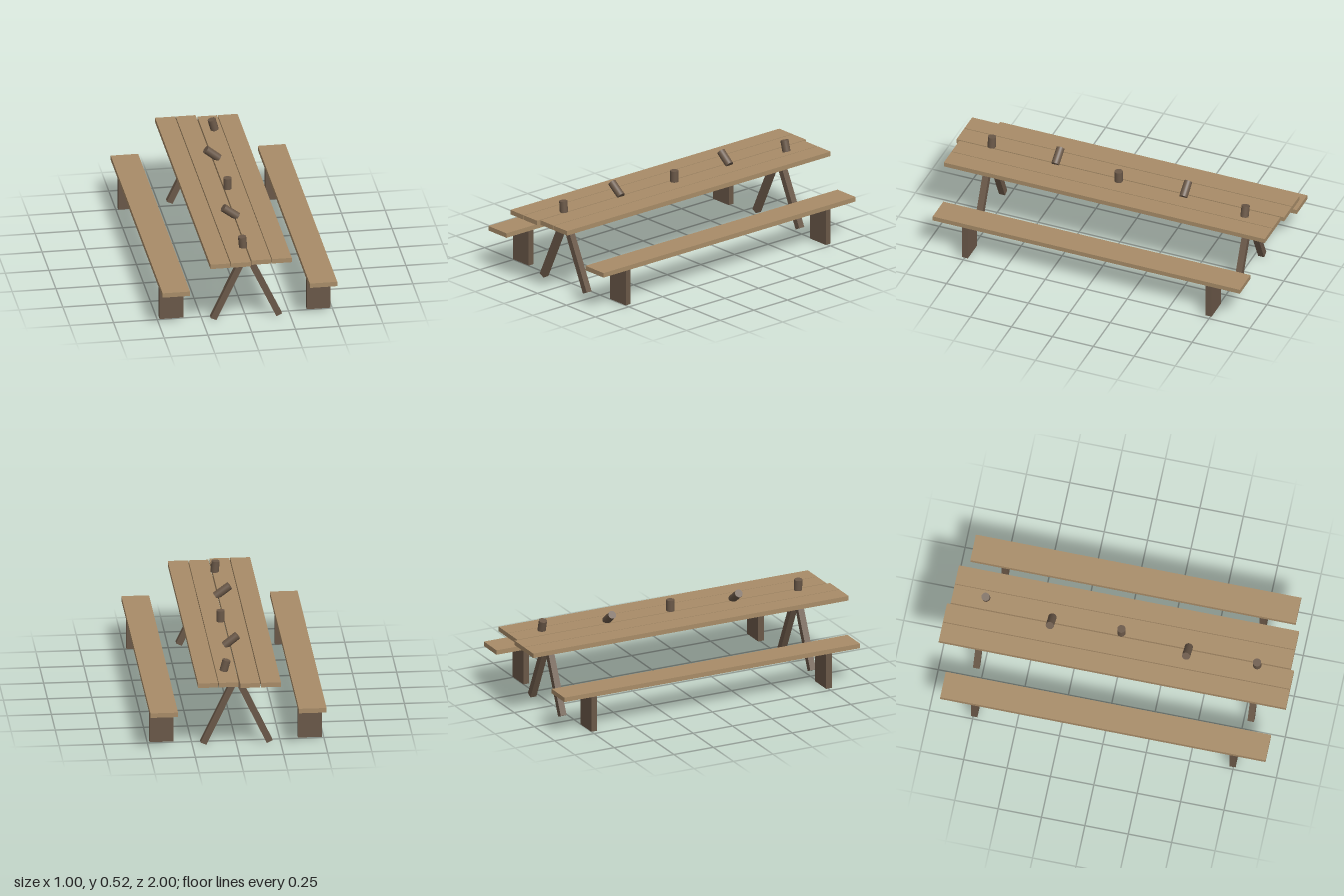
import * as THREE from 'three';

const lightWood = new THREE.MeshStandardMaterial({ color: 0xa88c68 });
const darkWood = new THREE.MeshStandardMaterial({ color: 0x6a5848 });

function add(parent, name, geometry, material, x, y, z, tilt = 0) {
  const mesh = new THREE.Mesh(geometry, material);
  mesh.name = name;
  mesh.position.set(x, y, z);
  mesh.rotation.z = tilt;
  parent.add(mesh);
  return mesh;
}

function group(parent, name) {
  const g = new THREE.Group();
  g.name = name;
  parent.add(g);
  return g;
}

export function createModel() {
  const model = new THREE.Group();
  model.name = 'picnicTable';

  // Table top: four planks, the two on +x slightly shorter
  const table = group(model, 'table');
  [[-0.179, 2.0], [-0.061, 2.0], [0.059, 1.96], [0.176, 1.96]].forEach(([x, length]) =>
    add(table, 'tablePlank', new THREE.BoxGeometry(0.113, 0.027, length), lightWood, x, 0.424, 0));

  // Crossed A-frame legs near each end
  const foot = new THREE.Vector2(0.1875, 0.009);
  const apex = new THREE.Vector2(0, 0.405);
  const legAngle = Math.atan2(foot.x - apex.x, apex.y - foot.y);
  const leg = new THREE.BoxGeometry(0.036, foot.distanceTo(apex), 0.037);
  for (const z of [-0.791, 0.791]) {
    for (const side of [-1, 1]) {
      add(table, 'tableLeg', leg, darkWood,
        side * (foot.x + apex.x) / 2, (foot.y + apex.y) / 2, z, side * legAngle);
    }
  }

  // Benches: a seat plank on two upright slabs
  const seat = new THREE.BoxGeometry(0.157, 0.027, 1.875);
  const slab = new THREE.BoxGeometry(0.136, 0.214, 0.036);
  for (const side of [-1, 1]) {
    const bench = group(model, side > 0 ? 'leftBench' : 'rightBench');
    add(bench, 'seat', seat, lightWood, side * 0.4205, 0.2365, 0);
    for (const z of [-0.743, 0.745]) {
      add(bench, 'benchSupport', slab, darkWood, side * 0.4205, 0.117, z);
    }
  }

  // Mugs on the table, some toppled: x, y, z, height, tilt
  const mugs = group(model, 'mugs');
  [
    [-0.019, 0.469, 0.79, 0.066, 0.09],
    [-0.026, 0.472, 0.39, 0.1, 0.93],
    [0.02, 0.47, 0, 0.066, 0],
    [-0.004, 0.472, -0.4, 0.095, 0.9],
    [0.063, 0.471, -0.79, 0.066, 0.27],
  ].forEach(([x, y, z, height, tilt]) =>
    add(mugs, 'mug', new THREE.CylinderGeometry(0.0235, 0.0235, height, 24), darkWood, x, y, z, tilt));

  return model;
}
